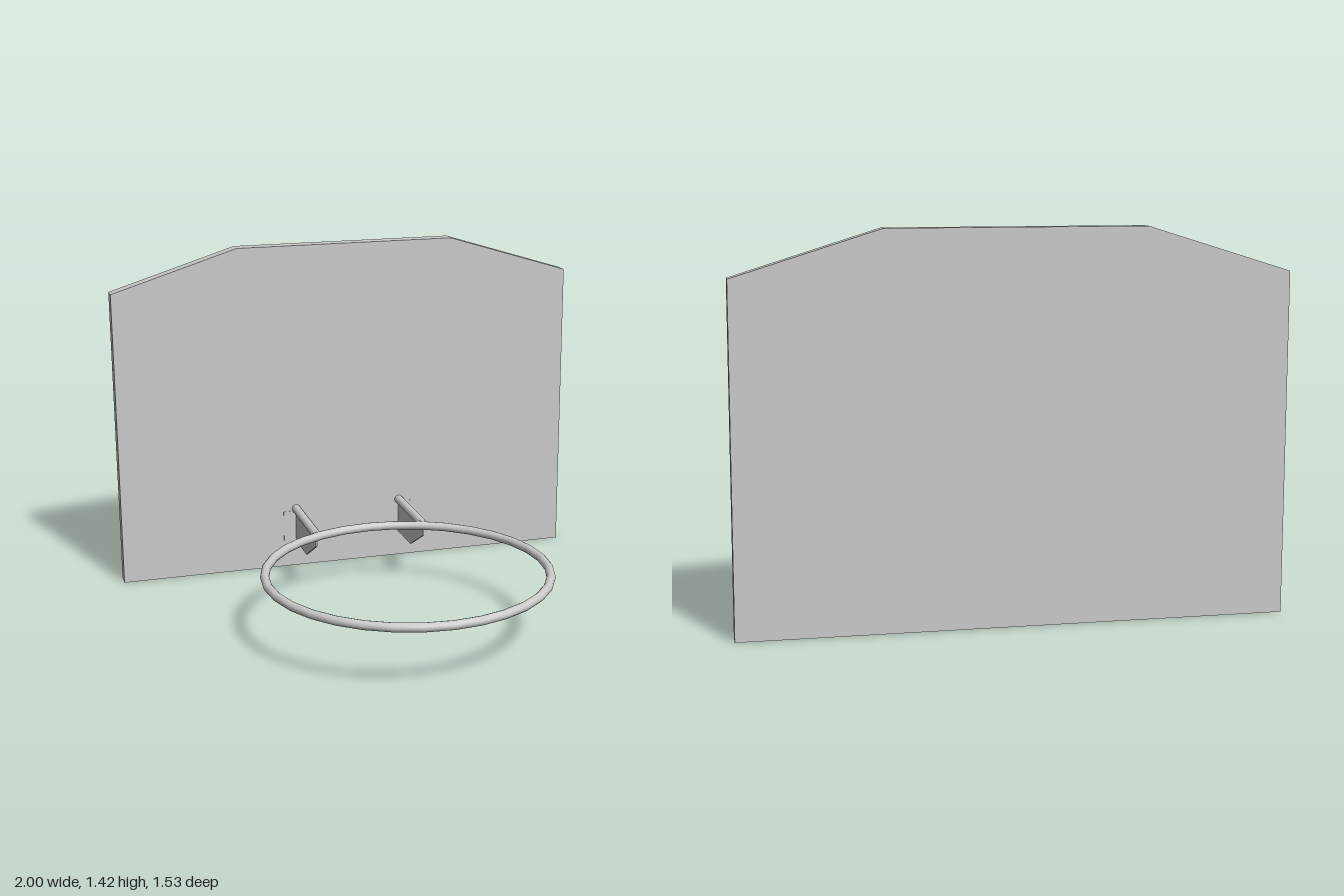
import * as THREE from 'three';

const material = new THREE.MeshStandardMaterial({ color: 0xcccccc });

function addPart(group, name, geometry) {
  const mesh = new THREE.Mesh(geometry, material);
  mesh.name = name;
  group.add(mesh);
  return mesh;
}

function extrudeProfile(points, depth) {
  const shape = new THREE.Shape(points.map(([x, y]) => new THREE.Vector2(x, y)));
  return new THREE.ExtrudeGeometry(shape, { depth, bevelEnabled: false });
}

export function createModel() {
  const model = new THREE.Group();
  model.name = 'basketballHoop';
  const boardFront = -0.705;
  const rimY = 0.262;

  // Backboard with clipped upper corners
  const board = extrudeProfile(
    [[-1, 0], [1, 0], [1, 1.26], [0.47, 1.425], [-0.47, 1.425], [-1, 1.26]], 0.062);
  addPart(model, 'backboard', board).position.z = boardFront - 0.062;

  // Rim
  const rim = new THREE.TorusGeometry(0.563, 0.018, 12, 32);
  rim.rotateX(Math.PI / 2);
  addPart(model, 'rim', rim).position.set(0, rimY, 0.185);

  for (const side of [-1, 1]) {
    const bracket = new THREE.Group();
    bracket.name = side > 0 ? 'leftBracket' : 'rightBracket';
    bracket.position.x = side * 0.235;

    // Support rod from the board to the rim
    const rod = new THREE.CylinderGeometry(0.019, 0.019, 0.375, 12);
    rod.rotateX(Math.PI / 2);
    addPart(bracket, 'supportRod', rod).position.set(0, rimY, boardFront + 0.1875);

    // Thin gusset under the rod
    const gusset = extrudeProfile(
      [[boardFront, 0.113], [-0.52, 0.113], [-0.345, 0.21], [-0.345, 0.255], [boardFront, 0.255]], 0.006);
    gusset.translate(0, 0, -0.003);
    gusset.rotateY(-Math.PI / 2);
    addPart(bracket, 'gusset', gusset);

    // Mounting flange lying against the board
    const flange = new THREE.BoxGeometry(0.057, 0.14, 0.004);
    addPart(bracket, 'mountingFlange', flange).position.set(side * 0.0285, 0.183, boardFront);

    model.add(bracket);
  }
  return model;
}
